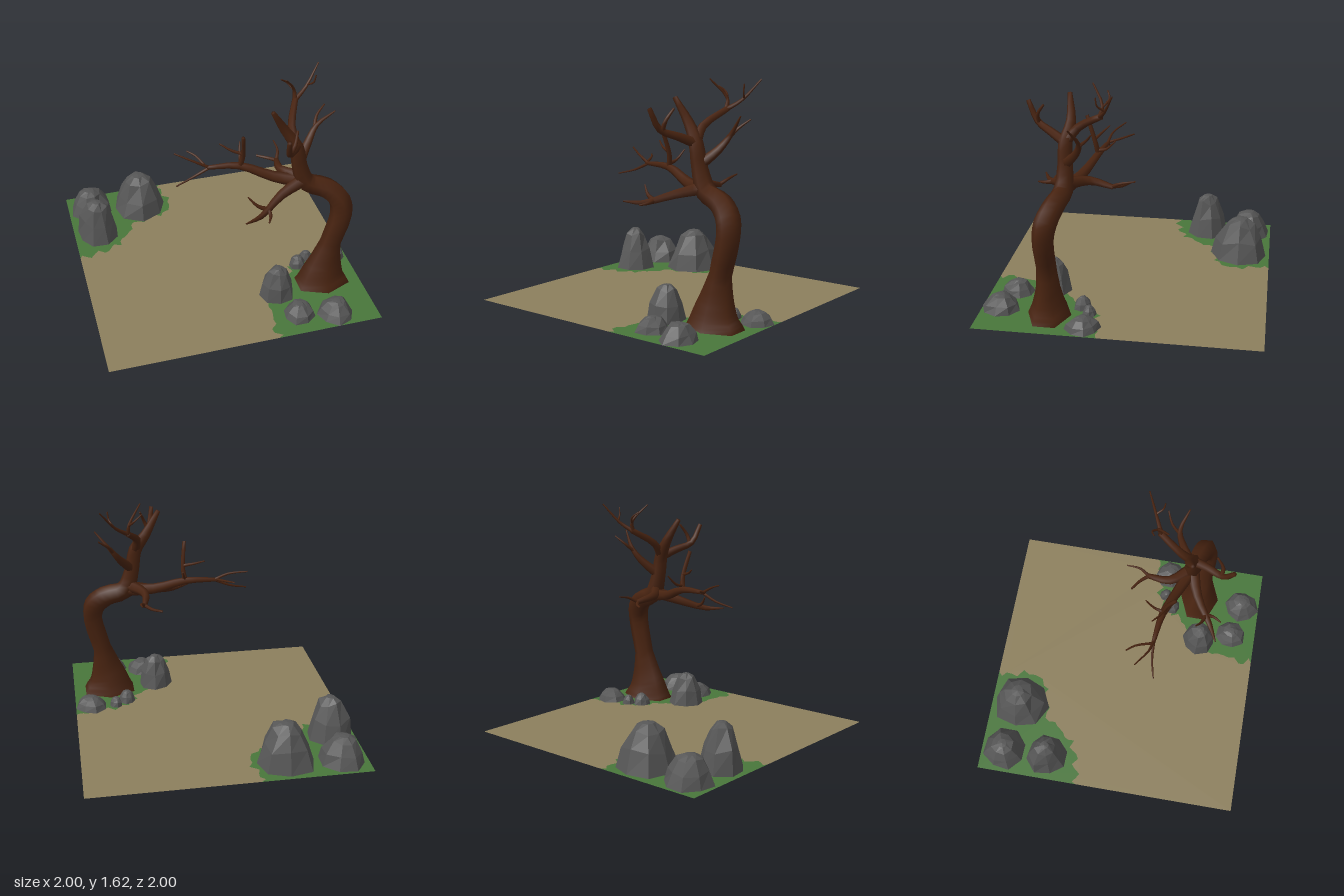
import * as THREE from 'three';

const V = (x, y, z) => new THREE.Vector3(x, y, z);
const mat = (name, color, side = THREE.FrontSide) => {
  const m = new THREE.MeshStandardMaterial({ color, side });
  m.name = name;
  return m;
};
const seeded = seed => () => (seed = (seed * 16807) % 2147483647) / 2147483647;

// Surface through equal-sized rings that run counter-clockwise round the direction of travel
function loft(rings, flat) {
  const n = rings[0].length, index = [];
  for (let i = 0; i < rings.length - 1; i++) for (let j = 0; j < n; j++) {
    const a = i * n + j, b = i * n + (j + 1) % n;
    index.push(a, b, b + n, a, b + n, a + n);
  }
  let g = new THREE.BufferGeometry().setFromPoints(rings.flat());
  g.setIndex(index);
  if (flat) g = g.toNonIndexed();
  g.computeVertexNormals();
  return g;
}

// Six-sided limb along a curve; radius and stretch are functions of the curve parameter
function limbGeometry(curve, radius, stretch = () => 1) {
  const steps = (curve.points.length - 1) * 3, rings = [];
  let normal = Math.abs(curve.getTangent(0).z) < 0.8 ? V(0, 0, 1) : V(1, 0, 0);
  for (let s = 0; s <= steps; s++) {
    const u = s / steps, c = curve.getPoint(u), t = curve.getTangent(u), r = radius(u);
    normal = normal.clone().addScaledVector(t, -normal.dot(t)).normalize();
    const side = t.clone().cross(normal).multiplyScalar(stretch(u));
    rings.push(Array.from({ length: 6 }, (_, j) => {
      const a = j / 6 * Math.PI * 2;
      return c.clone().addScaledVector(normal, r * Math.cos(a)).addScaledVector(side, r * Math.sin(a));
    }));
  }
  const tip = curve.getPoint(1);
  rings.push(rings[0].map(() => tip.clone()));
  return loft(rings, false);
}

// Faceted boulder with a slightly irregular outline
function boulder(x, z, radius, h, seed) {
  const rand = seeded(seed * 7919 + 17), sides = 8, turn = rand() * 6;
  const profile = [[0, 0], [1, 0], [0.82, 0.45], [0.5, 0.84], [0.22, 0.98], [0, 1]];
  const lean = Array.from({ length: sides }, () => 0.92 + 0.16 * rand());
  const rings = profile.map(([r, y], i) => Array.from({ length: sides }, (_, j) => {
    const a = turn + j / sides * Math.PI * 2;
    const w = radius * r * lean[j] * (i > 1 ? 0.9 + 0.2 * rand() : 1);
    const up = h * (y + (i === 2 || i === 3 ? (rand() - 0.5) * 0.14 : 0));
    return V(x + w * Math.cos(a), up, z - w * Math.sin(a));
  }));
  return loft(rings, true);
}

// Ragged border through a few [x, z] points, with exact ends
function raggedEdge(points, seed) {
  const rand = seeded(seed), count = 36;
  const curve = new THREE.SplineCurve(points.map(([x, z]) => new THREE.Vector2(x, -z)));
  return Array.from({ length: count + 1 }, (_, i) => {
    const p = curve.getPoint(i / count), t = curve.getTangent(i / count);
    const w = i % count ? (rand() - 0.5) * 0.07 : 0;
    return new THREE.Vector2(p.x - t.y * w, p.y + t.x * w);
  });
}

// Flat patch of ground, with optional hole
function patch(outline, hole) {
  const shape = new THREE.Shape(outline);
  if (hole) shape.holes.push(new THREE.Path(hole));
  return new THREE.ShapeGeometry(shape).rotateX(-Math.PI / 2);
}

export function createModel() {
  const model = new THREE.Group();
  model.name = 'bareTreeScene';
  const sand = mat('sand', 0x8c7f5d, THREE.DoubleSide);
  const grass = mat('grass', 0x48763b, THREE.DoubleSide);
  const stone = mat('stone', 0x565656);
  const bark = mat('bark', 0x482310, THREE.DoubleSide);
  const add = (parent, name, geometry, material) => {
    const mesh = new THREE.Mesh(geometry, material);
    mesh.name = name;
    parent.add(mesh);
  };

  // Ground: sand and two grassy corners sharing ragged edges, open under the trunk
  const corner = (x, z) => new THREE.Vector2(x, -z);
  const backEdge = raggedEdge([[-0.2, -1], [-0.2, -0.64], [-0.5, -0.53], [-0.7, -0.29], [-1, -0.22]], 11);
  const frontEdge = raggedEdge([[0.22, 1], [0.27, 0.64], [0.5, 0.36], [0.68, 0.19], [1, 0.12]], 29);
  const trunkHole = Array.from({ length: 6 }, (_, j) =>
    corner(0.72 + 0.22 * Math.sin(j * Math.PI / 3), 0.505 + 0.155 * Math.cos(j * Math.PI / 3)));
  add(model, 'sandGround', patch([corner(-1, 1), ...frontEdge, corner(1, -1), ...backEdge]), sand);
  add(model, 'backGrass', patch([...backEdge, corner(-1, -1)]), grass);
  add(model, 'frontGrass', patch([...frontEdge, corner(1, 1)], trunkHole), grass);

  // Boulders: x, z, radius, height
  const rocks = new THREE.Group();
  rocks.name = 'boulders';
  model.add(rocks);
  [[-0.82, -0.82, 0.165, 0.2], [-0.42, -0.77, 0.215, 0.315], [-0.81, -0.48, 0.16, 0.33],
    [0.35, 0.55, 0.125, 0.25], [0.435, 0.8, 0.12, 0.1], [0.695, 0.86, 0.135, 0.12],
    [0.88, 0.24, 0.12, 0.09], [0.6, 0.29, 0.065, 0.09], [0.69, 0.23, 0.05, 0.07],
  ].forEach((r, i) => add(rocks, 'boulder', boulder(...r, i + 1), stone));

  // Trunk: x, y, z, radius; flared foot, leaning over, then rising as the leader
  const tree = new THREE.Group();
  tree.name = 'bareTree';
  model.add(tree);
  const path = [[0.72, 0, 0.505, 0.155], [0.72, 0.08, 0.505, 0.122], [0.735, 0.2, 0.505, 0.09],
    [0.765, 0.37, 0.505, 0.073], [0.825, 0.62, 0.51, 0.076], [0.81, 0.74, 0.49, 0.08],
    [0.72, 0.83, 0.45, 0.075], [0.58, 0.885, 0.415, 0.068], [0.52, 1.04, 0.41, 0.054],
    [0.49, 1.2, 0.41, 0.048], [0.41, 1.33, 0.385, 0.035], [0.31, 1.5, 0.41, 0.016]];
  const end = path.length - 1;
  const trunk = {
    curve: new THREE.CatmullRomCurve3(path.map(p => V(p[0], p[1], p[2]))),
    radius: u => {
      const i = Math.min(Math.floor(u * end), end - 1);
      return THREE.MathUtils.lerp(path[i][3], path[i + 1][3], u * end - i);
    },
  };
  const footStretch = u => THREE.MathUtils.mapLinear(THREE.MathUtils.clamp(u * end, 2, 3), 2, 3, 1.42, 1.05);
  add(tree, 'trunk', limbGeometry(trunk.curve, trunk.radius, footStretch), bark);

  // A branch leaves its parent at parameter u and tapers through the given points
  const grow = (name, parent, u, points, tip = 0.005) => {
    const curve = new THREE.CatmullRomCurve3([parent.curve.getPoint(u), ...points.map(p => V(...p))]);
    const base = parent.radius(u) * 0.75;
    const radius = v => THREE.MathUtils.lerp(base, tip, v);
    add(tree, name, limbGeometry(curve, radius), bark);
    return { curve, radius };
  };

  // Long reaching branch
  const long = grow('longBranch', trunk, 7 / end, [[0.36, 0.915, 0.33], [0.13, 0.995, 0.25], [-0.1, 1, 0.22]], 0.014);
  grow('longUpperTip', long, 0.97, [[-0.18, 1.05, 0.2], [-0.31, 1.09, 0.12]]);
  grow('longLowerTip', long, 0.97, [[-0.2, 0.945, 0.23], [-0.33, 0.91, 0.26]]);
  grow('longBackTwig', long, 1, [[-0.15, 1.03, 0.1], [-0.2, 1.04, 0.04]]);
  const rising = grow('risingFork', long, 0.66, [[0.15, 1.09, 0.27], [0.13, 1.28, 0.33]], 0.014);
  grow('risingTwig', rising, 0.55, [[0.07, 1.13, 0.24], [0, 1.165, 0.19]]);
  grow('risingBackTwig', rising, 0.15, [[0.15, 1.04, 0.19], [0.17, 1.11, 0.12]]);

  // Low front branch
  const low = grow('lowBranch', trunk, 7.2 / end, [[0.37, 0.855, 0.48], [0.19, 0.795, 0.6], [0.06, 0.8, 0.66]]);
  grow('lowUpperTwig', low, 0.55, [[0.18, 0.84, 0.54], [0.12, 0.9, 0.5]]);
  grow('lowFrontTwig', low, 0.55, [[0.25, 0.8, 0.62], [0.22, 0.79, 0.68]]);

  // Low back branch
  const back = grow('backBranch', trunk, 7.3 / end, [[0.44, 0.91, 0.26], [0.46, 0.88, 0.09]], 0.018);
  grow('backLeftTip', back, 0.97, [[0.41, 0.87, 0.04], [0.34, 0.87, -0.01]], 0.008);
  grow('backRightTip', back, 0.97, [[0.49, 0.92, 0.03], [0.49, 0.94, -0.07]]);

  // Side branch
  const side = grow('sideBranch', trunk, 8.1 / end, [[0.61, 1.16, 0.32], [0.68, 1.26, 0.28], [0.79, 1.39, 0.33]]);
  grow('sideTwig', side, 0.6, [[0.7, 1.3, 0.22], [0.77, 1.36, 0.18]]);

  // Front and high forks of the leader
  const front = grow('frontFork', trunk, 9 / end, [[0.43, 1.25, 0.52], [0.36, 1.3, 0.63], [0.33, 1.44, 0.7]], 0.016);
  grow('frontTwig', front, 0.62, [[0.4, 1.36, 0.62], [0.43, 1.44, 0.57]], 0.008);
  const high = grow('highBranch', trunk, 9 / end, [[0.48, 1.31, 0.32], [0.56, 1.42, 0.15]], 0.022);
  const highLeft = grow('highLeftFork', high, 0.97, [[0.55, 1.49, 0.14], [0.46, 1.62, 0.22]]);
  grow('highLeftTwig', highLeft, 0.45, [[0.51, 1.53, 0.1], [0.46, 1.57, 0.12]]);
  const highRight = grow('highRightFork', high, 0.97, [[0.65, 1.48, 0.11], [0.76, 1.62, 0.04]]);
  grow('highRightTwig', highRight, 0.55, [[0.69, 1.53, 0.15], [0.7, 1.59, 0.16]]);

  return model;
}
